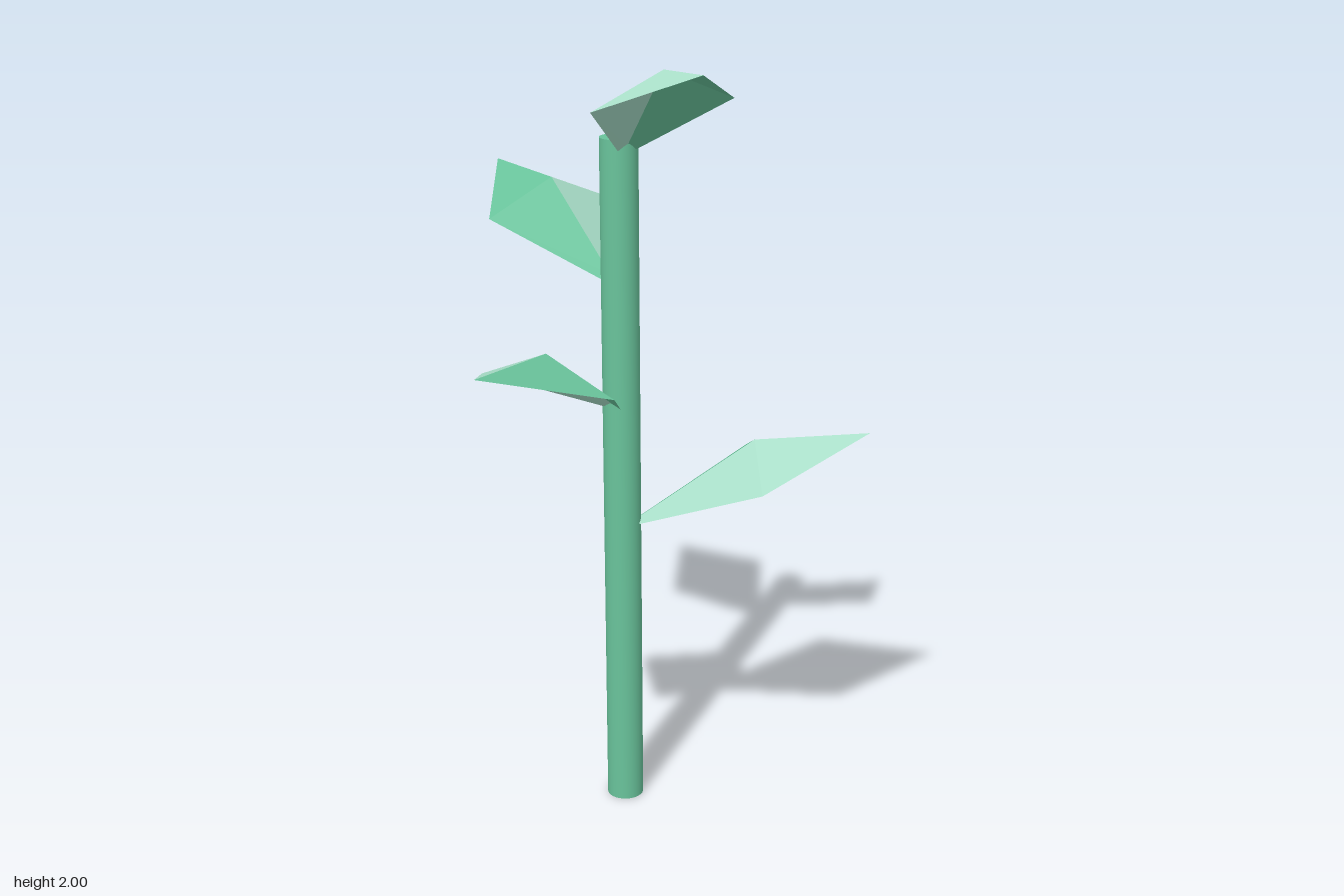
import * as THREE from 'three';

const STEM_X = -0.147;
const STEM_Z = -0.027;

export function createModel() {
  const green = new THREE.MeshStandardMaterial({ color: 0x69c39b, side: THREE.DoubleSide });
  green.name = 'green';
  green.flatShading = true;
  const paleGreen = new THREE.MeshStandardMaterial({ color: 0xa9dfc9, side: THREE.DoubleSide });
  paleGreen.name = 'pale green';
  paleGreen.flatShading = true;
  const stemGreen = new THREE.MeshStandardMaterial({ color: 0x69c39b });
  stemGreen.name = 'stem green';

  const model = new THREE.Group();
  model.name = 'plant';

  // Stem
  const stem = new THREE.Mesh(new THREE.CylinderGeometry(0.048, 0.048, 1.8, 32), stemGreen);
  stem.name = 'stem';
  stem.position.set(STEM_X, 0.9, STEM_Z);
  model.add(stem);

  // One half of a folded leaf; side is +1 or -1 across the central crease
  function leafHalf(length, side) {
    const x0 = 0.042;
    const xm = x0 + length / 2;
    const points = [
      x0, 0.006, 0, // crease at the stem
      x0, -0.004, side * 0.026, // outer corner at the stem
      xm, 0.13, side * 0.194, // widest point
      xm, 0.212, 0, // crease at the bend
      x0 + length, 0.222, 0, // tip
    ];
    const faces = [[0, 1, 2], [0, 2, 3], [3, 2, 4]];
    const geometry = new THREE.BufferGeometry();
    geometry.setAttribute('position', new THREE.Float32BufferAttribute(points, 3));
    geometry.setIndex(faces.flatMap(([a, b, c]) => (side > 0 ? [a, b, c] : [a, c, b])));
    const flat = geometry.toNonIndexed();
    flat.computeVertexNormals();
    return flat;
  }

  // Leaves spiral up the stem, shrinking towards the top
  const leaves = [
    { y: 0.8, angle: 0, length: 0.6 },
    { y: 1.122, angle: 126, length: 0.555 },
    { y: 1.443, angle: 235, length: 0.488 },
    { y: 1.778, angle: 63, length: 0.348 },
  ];
  leaves.forEach(({ y, angle, length }, i) => {
    const leaf = new THREE.Group();
    leaf.name = `leaf${i + 1}`;
    const right = new THREE.Mesh(leafHalf(length, 1), paleGreen);
    right.name = 'leafPaleHalf';
    const left = new THREE.Mesh(leafHalf(length, -1), green);
    left.name = 'leafGreenHalf';
    leaf.add(right, left);
    leaf.position.set(STEM_X, y, STEM_Z);
    leaf.rotation.y = -THREE.MathUtils.degToRad(angle);
    model.add(leaf);
  });

  return model;
}
